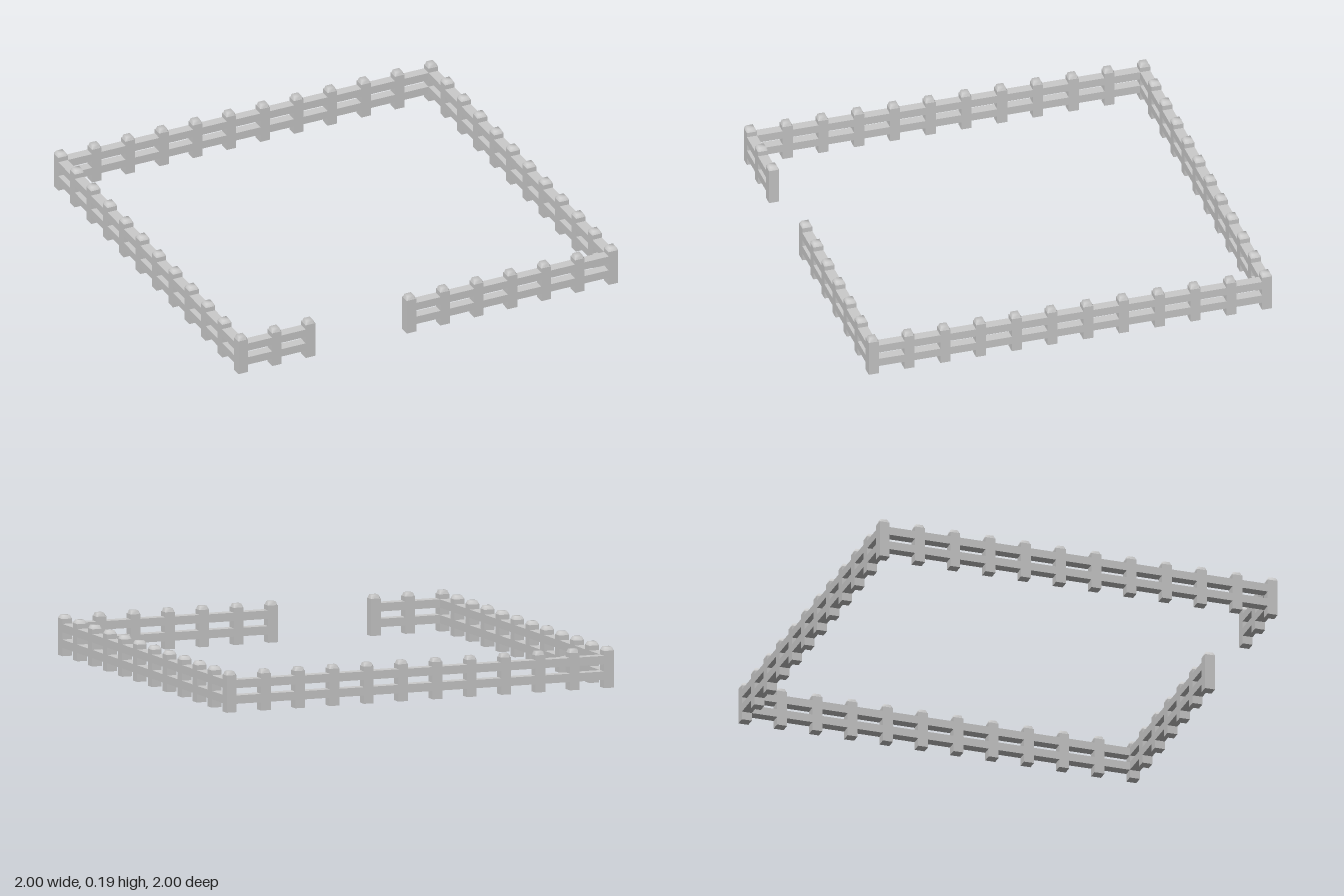
import * as THREE from 'three';

const POST = 0.05, SHOULDER = 0.178, TOP = 0.195, INSET = 0.008;
const COUNT = 12, EDGE = 0.975, STEP = (2 * EDGE) / (COUNT - 1);
const RAIL_H = 0.04, RAIL_Y = [0.06, 0.135];

// Softly rounded post top: a 3x3 grid whose outer ring drops to the shoulder
function capGeometry() {
  const geo = new THREE.PlaneGeometry(POST, POST, 3, 3).rotateX(-Math.PI / 2);
  const p = geo.attributes.position;
  const inner = POST / 2 - INSET;
  for (let i = 0; i < p.count; i++) {
    const x = p.getX(i), z = p.getZ(i);
    const rim = Math.max(Math.abs(x), Math.abs(z)) > POST / 2 - 0.001;
    const fit = (v) => (Math.abs(v) > POST / 2 - 0.001 ? v : Math.sign(v) * inner);
    p.setXYZ(i, fit(x), rim ? SHOULDER : TOP, fit(z));
  }
  geo.computeVertexNormals();
  return geo;
}

export function createModel() {
  const model = new THREE.Group();
  model.name = 'fence';
  const mat = new THREE.MeshStandardMaterial({ color: 0xcccccc });
  const postGeo = new THREE.BoxGeometry(POST, SHOULDER, POST).translate(0, SHOULDER / 2, 0);
  const capGeo = capGeometry();
  const railGeo = new THREE.BoxGeometry(STEP - POST, RAIL_H, POST);

  const add = (parent, geo, name, x = 0, y = 0) => {
    const mesh = new THREE.Mesh(geo, mat);
    mesh.name = name;
    mesh.position.set(x, y, 0);
    parent.add(mesh);
  };

  // One side of the pen; each side owns its first corner post
  const sides = ['frontFence', 'leftFence', 'backFence', 'rightFence'];
  sides.forEach((name, s) => {
    const side = new THREE.Group();
    side.name = name;
    const open = (i) => s === 0 && i > 2 && i < 5; // gateway posts left out
    for (let i = 0; i < COUNT - 1; i++) {
      const x = -EDGE + i * STEP;
      if (open(i)) continue;
      const post = new THREE.Group();
      post.name = 'post';
      post.position.x = x;
      add(post, postGeo, 'postBody');
      add(post, capGeo, 'postCap');
      side.add(post);
      // Two rails to the next post
      if (!open(i + 1)) RAIL_Y.forEach((y) => add(side, railGeo, 'rail', x + STEP / 2, y));
    }
    // Turn the side about the centre of the pen
    const a = (s * Math.PI) / 2;
    side.rotation.y = a;
    side.position.set(Math.sin(a) * EDGE, 0, Math.cos(a) * EDGE);
    model.add(side);
  });
  return model;
}
